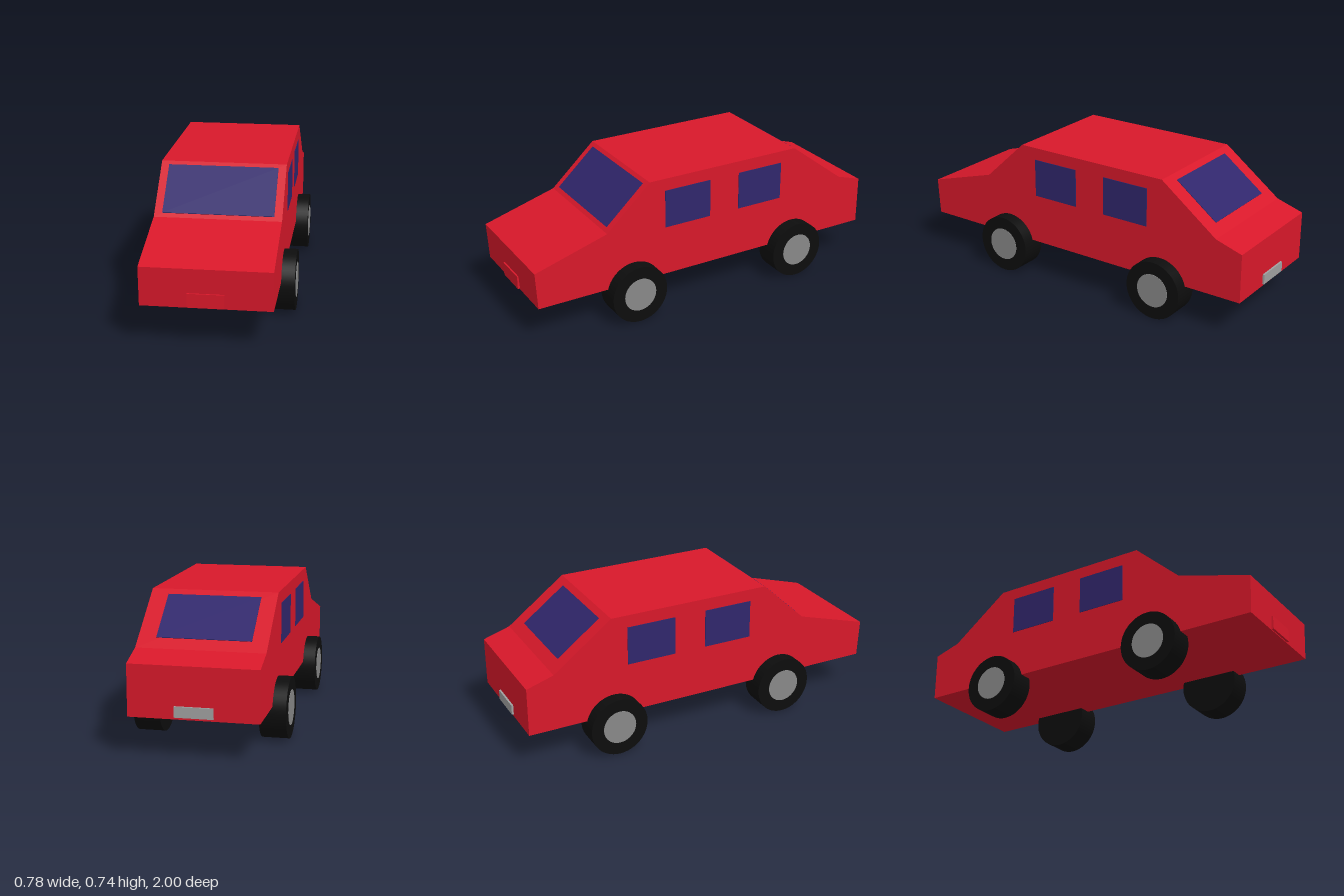
import * as THREE from 'three';

const paint = (color) => new THREE.MeshStandardMaterial({ color });

export function createModel() {
  const car = new THREE.Group();
  car.name = 'car';
  const red = paint(0xd8182a), glass = paint(0x30266c), rubber = paint(0x0d0d0d);
  const hubGrey = paint(0x888888), plateGrey = paint(0xa0a0a0);

  const add = (name, geometry, material, x, y, z) => {
    const mesh = new THREE.Mesh(geometry, material);
    mesh.name = name;
    mesh.position.set(x, y, z);
    car.add(mesh);
    return mesh;
  };

  // Body: side profile as (z, y), extruded across the width
  const profile = [
    [0.988, 0.195], [0.998, 0.393], [0.6, 0.51], [0.355, 0.735],
    [-0.53, 0.735], [-0.845, 0.498], [-0.99, 0.453], [-0.99, 0.195],
  ].map(([z, y]) => new THREE.Vector2(z, y));
  const bodyGeo = new THREE.ExtrudeGeometry(new THREE.Shape(profile), { depth: 0.64, bevelEnabled: false });
  bodyGeo.rotateY(-Math.PI / 2);
  add('body', bodyGeo, red, 0.32, 0, 0);

  // Windscreen and rear window: thin panes between a bottom and a top point (z, y)
  const slopedPane = (name, width, x, [z0, y0], [z1, y1]) => {
    const pane = add(name, new THREE.BoxGeometry(width, Math.hypot(z1 - z0, y1 - y0), 0.006),
      glass, x, (y0 + y1) / 2, (z0 + z1) / 2);
    pane.rotation.x = Math.atan2(z1 - z0, y1 - y0);
  };
  slopedPane('windscreen', 0.56, 0, [0.582, 0.527], [0.372, 0.719]);
  slopedPane('rearWindow', 0.47, -0.005, [-0.79, 0.539], [-0.56, 0.712]);

  // Side windows and wheels, mirrored left and right
  const tyreGeo = new THREE.CylinderGeometry(0.156, 0.156, 0.136, 48).rotateZ(Math.PI / 2);
  const hubGeo = new THREE.CylinderGeometry(0.09, 0.09, 0.004, 40).rotateZ(Math.PI / 2);
  for (const [side, s] of [['left', 1], ['right', -1]]) {
    for (const [end, z] of [['Front', 0.133], ['Rear', -0.31]]) {
      add(`${side}${end}Window`, new THREE.BoxGeometry(0.006, 0.205, 0.268), glass, s * 0.32, 0.567, z);
    }
    for (const [end, z] of [['Front', 0.453], ['Rear', -0.527]]) {
      add(`${side}${end}Tyre`, tyreGeo, rubber, s * 0.32, 0.156, z);
      add(`${side}${end}Hub`, hubGeo, hubGrey, s * 0.388, 0.156, z);
    }
  }

  // Number plates
  add('frontPlate', new THREE.BoxGeometry(0.18, 0.07, 0.02), red, 0, 0.235, 0.99);
  add('rearPlate', new THREE.BoxGeometry(0.19, 0.053, 0.012), plateGrey, -0.005, 0.233, -0.994);

  return car;
}
